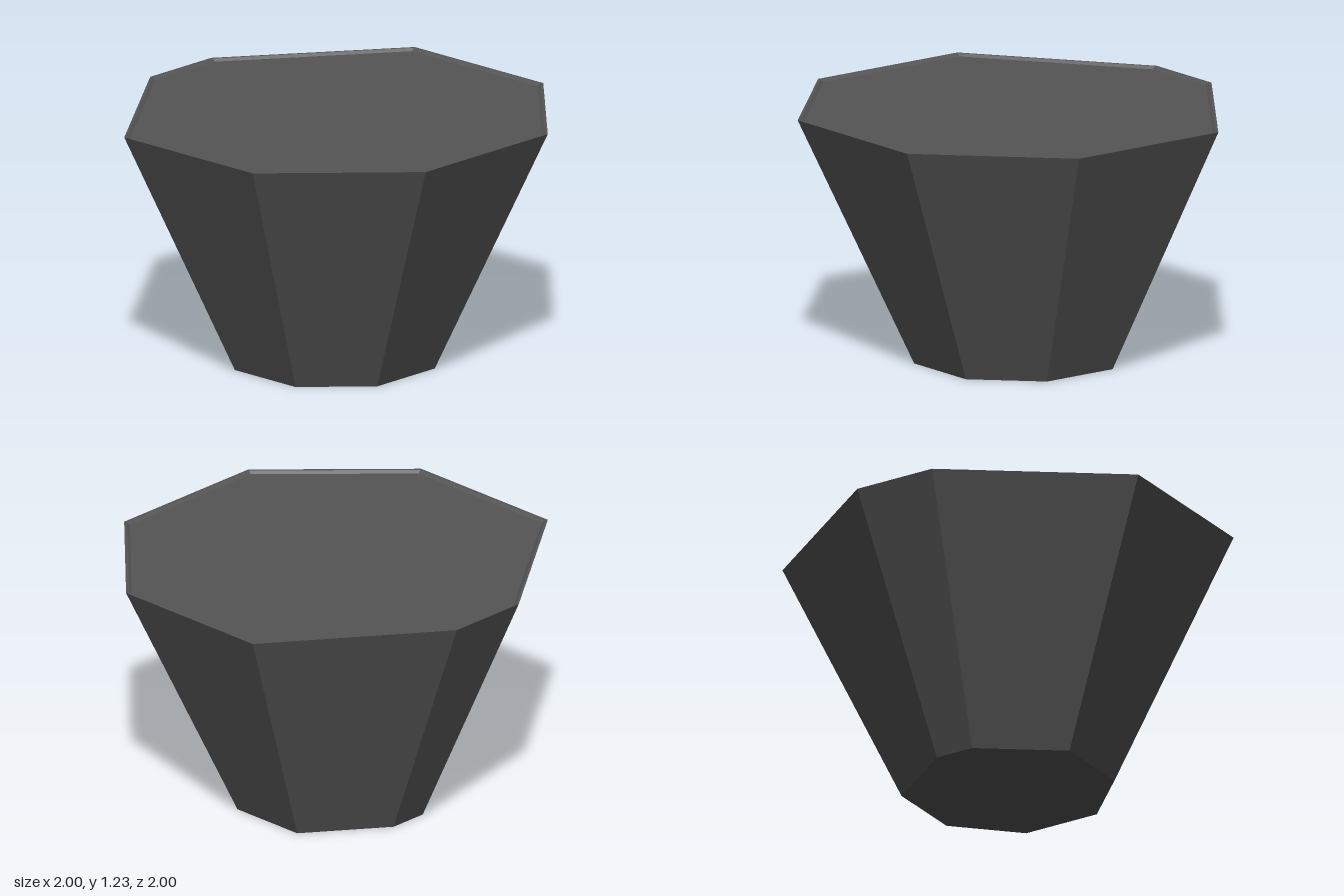
import * as THREE from 'three';

// Octagon whose back edge is half as long as the others
const OUTLINE = [
  [0.42, 1], [1, 0.42], [1, -0.42], [0.21, -1],
  [-0.21, -1], [-1, -0.42], [-1, 0.42], [-0.42, 1],
];

const ring = (scale, y) => OUTLINE.map(([x, z]) => new THREE.Vector3(x * scale, y, z * scale));

function facets(triangles) {
  const g = new THREE.BufferGeometry().setFromPoints(triangles);
  g.computeVertexNormals();
  return g;
}

// Band of flat quads between two rings, facing outward when a is below b
function band(a, b) {
  const t = [];
  a.forEach((p, i) => {
    const j = (i + 1) % a.length;
    t.push(p, a[j], b[j], p, b[j], b[i]);
  });
  return facets(t);
}

// Flat polygon closing a ring
function cap(r, up) {
  const t = [];
  for (let i = 1; i < r.length - 1; i++) {
    t.push(...(up ? [r[0], r[i], r[i + 1]] : [r[0], r[i + 1], r[i]]));
  }
  return facets(t);
}

export function createModel() {
  const group = new THREE.Group();
  group.name = 'planter';
  const charcoal = new THREE.MeshStandardMaterial({ color: 0x555555, flatShading: true });
  charcoal.name = 'charcoal';

  const add = (name, geometry) => {
    const mesh = new THREE.Mesh(geometry, charcoal);
    mesh.name = name;
    group.add(mesh);
  };

  const base = ring(0.472, 0);
  const top = ring(1, 1.225);
  const lip = ring(0.987, 1.225);
  const inset = ring(0.972, 1.213);

  add('base', cap(base, false));
  add('taperedWalls', band(base, top));
  // Narrow flat rim, then a shallow slope down to the sunken surface
  add('rim', band(top, lip));
  add('innerSlope', band(lip, inset));
  add('sunkenTop', cap(inset, true));
  return group;
}
